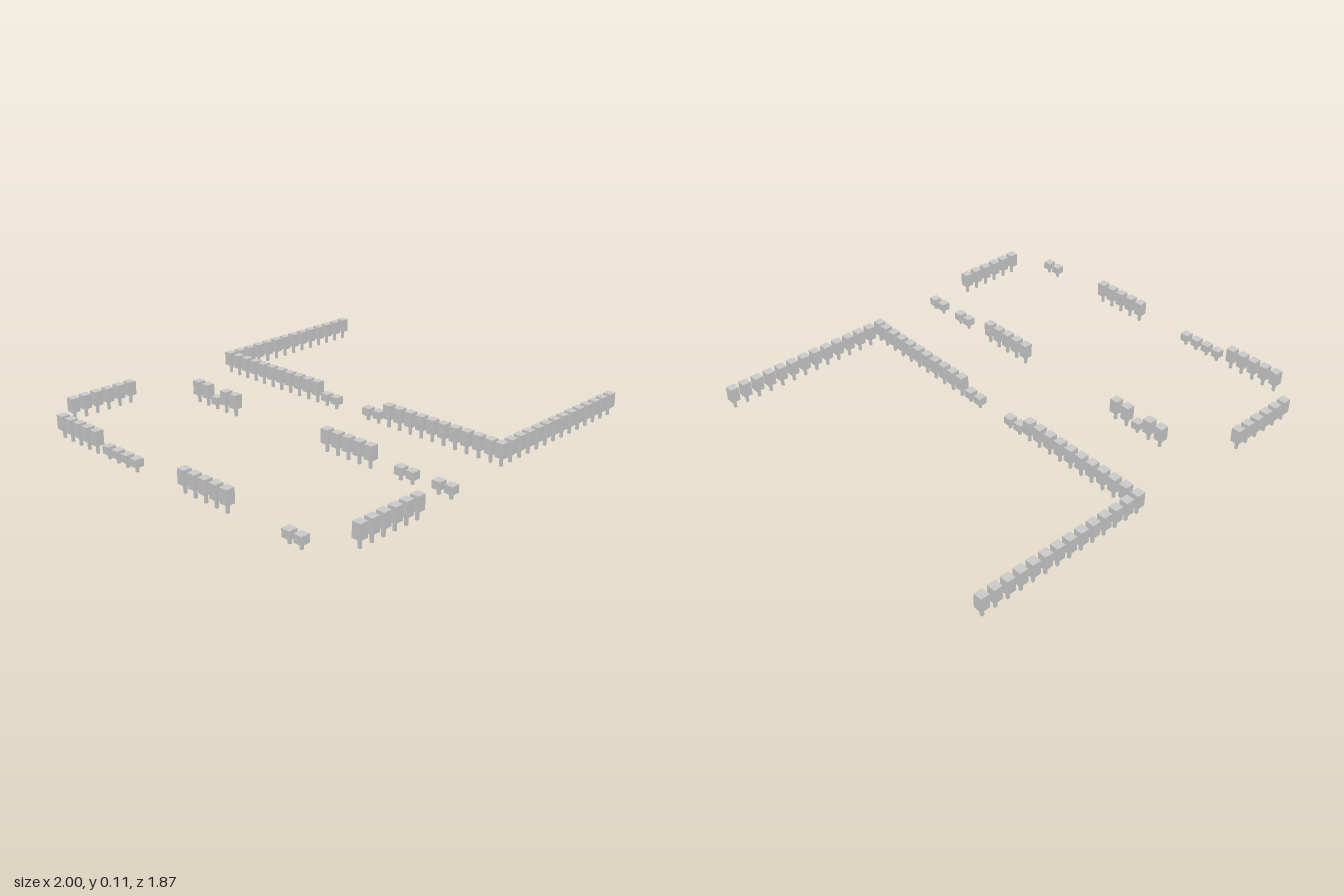
import * as THREE from 'three';

const material = new THREE.MeshStandardMaterial({ color: 0xcccccc, flatShading: true });
const WIDTH = 0.042;
const TRUNK = 0.012;

// One clipped shrub: a square crown on a thin trunk
function shrub(tall) {
  const bottom = tall ? 0.042 : 0.027;
  const top = tall ? 0.111 : 0.064;
  const group = new THREE.Group();
  group.name = tall ? 'tallShrub' : 'shortShrub';
  const crown = new THREE.Mesh(new THREE.BoxGeometry(WIDTH, top - bottom, WIDTH), material);
  crown.name = 'crown';
  crown.position.y = (top + bottom) / 2;
  const trunk = new THREE.Mesh(new THREE.BoxGeometry(TRUNK, bottom, TRUNK), material);
  trunk.name = 'trunk';
  trunk.position.y = bottom / 2;
  group.add(crown, trunk);
  return group;
}

// A straight row of evenly spaced shrubs; isTall decides the height by index
function row(name, count, [x0, z0], [x1, z1], isTall = () => true) {
  const group = new THREE.Group();
  group.name = name;
  for (let i = 0; i < count; i++) {
    const t = i / (count - 1);
    const plant = shrub(isTall(i));
    plant.position.set(x0 + (x1 - x0) * t, 0, z0 + (z1 - z0) * t);
    group.add(plant);
  }
  return group;
}

export function createModel() {
  const model = new THREE.Group();
  model.name = 'hedgeGarden';
  const short = () => false;

  model.add(
    // Large three-sided hedge, low beside the gateway
    row('leftBackHedge', 14, [0.136, -0.909], [0.976, -0.909]),
    row('leftFrontHedge', 14, [0.131, 0.839], [0.971, 0.839]),
    row('gatewayBackHedge', 12, [0.134, -0.842], [0.134, -0.136], i => i < 10),
    row('gatewayFrontHedge', 12, [0.134, 0.072], [0.134, 0.781], i => i > 1),

    // Short end hedges
    row('rightBackHedge', 6, [-0.823, -0.917], [-0.503, -0.917]),
    row('rightFrontHedge', 6, [-0.823, 0.912], [-0.503, 0.912]),

    // Outer edge, broken into groups
    row('outerBackHedge', 5, [-0.979, -0.759], [-0.979, -0.503]),
    row('outerBackLowHedge', 4, [-0.979, -0.414], [-0.979, -0.219], short),
    row('outerMiddleHedge', 5, [-0.97, 0.09], [-0.97, 0.35]),
    row('outerFrontLowHedge', 2, [-0.976, 0.703], [-0.976, 0.767], short),

    // Inner edge, broken into groups
    row('innerBackHedge', 5, [-0.264, -0.68], [-0.267, -0.409], i => i !== 2),
    row('innerMiddleHedge', 5, [-0.27, 0.2], [-0.27, 0.457]),
    row('innerLowHedge', 2, [-0.27, 0.626], [-0.27, 0.69], short),
    row('innerFrontLowHedge', 2, [-0.268, 0.826], [-0.268, 0.89], short)
  );
  return model;
}
